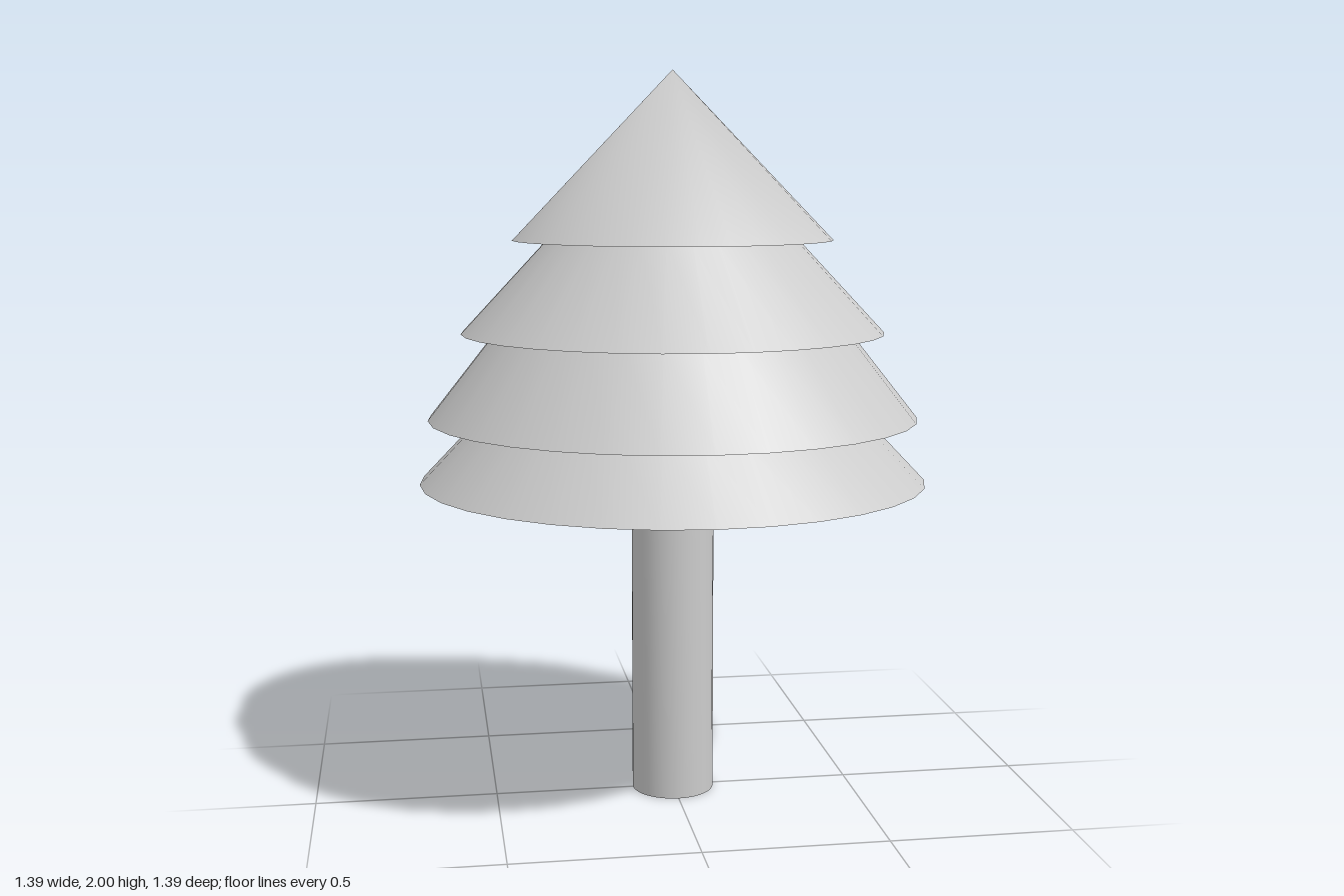
import * as THREE from 'three';
import { mergeVertices } from 'three/addons/utils/BufferGeometryUtils.js';

const SIDES = 32;
const TRUNK_RADIUS = 0.114;

// Revolves a straight line of [radius, height] points into one smooth surface
function revolve(name, points, material) {
  let geometry = new THREE.LatheGeometry(points.map(([r, y]) => new THREE.Vector2(r, y)), SIDES);
  geometry.deleteAttribute('uv');
  geometry.deleteAttribute('normal');
  geometry = mergeVertices(geometry, 1e-4);
  geometry.computeVertexNormals();
  const mesh = new THREE.Mesh(geometry, material);
  mesh.name = name;
  return mesh;
}

export function createModel() {
  const material = new THREE.MeshStandardMaterial({ color: 0xcccccc, side: THREE.DoubleSide });
  const tree = new THREE.Group();
  tree.name = 'pineTree';

  // Hollow trunk, open at the foot
  tree.add(revolve('trunk', [[TRUNK_RADIUS, 0], [TRUNK_RADIUS, 0.862]], material));

  // Branch tiers: rim radius and height, then the neck radius under the next tier
  const tiers = [
    { rim: 0.695, y: 0.889, neck: 0.528 },
    { rim: 0.67, y: 1.064, neck: 0.486 },
    { rim: 0.577, y: 1.297, neck: 0.343 },
    { rim: 0.436, y: 1.547, neck: 0 },
  ];

  let inner = [TRUNK_RADIUS, 0.862];
  tiers.forEach(({ rim, y, neck }, i) => {
    const top = i + 1 < tiers.length ? tiers[i + 1].y : 2;
    const tier = new THREE.Group();
    tier.name = `branchTier${i + 1}`;
    tier.add(revolve('underside', [inner, [rim, y]], material));
    tier.add(revolve('slope', [[rim, y], [neck, top]], material));
    tree.add(tier);
    inner = [neck, top];
  });

  return tree;
}
